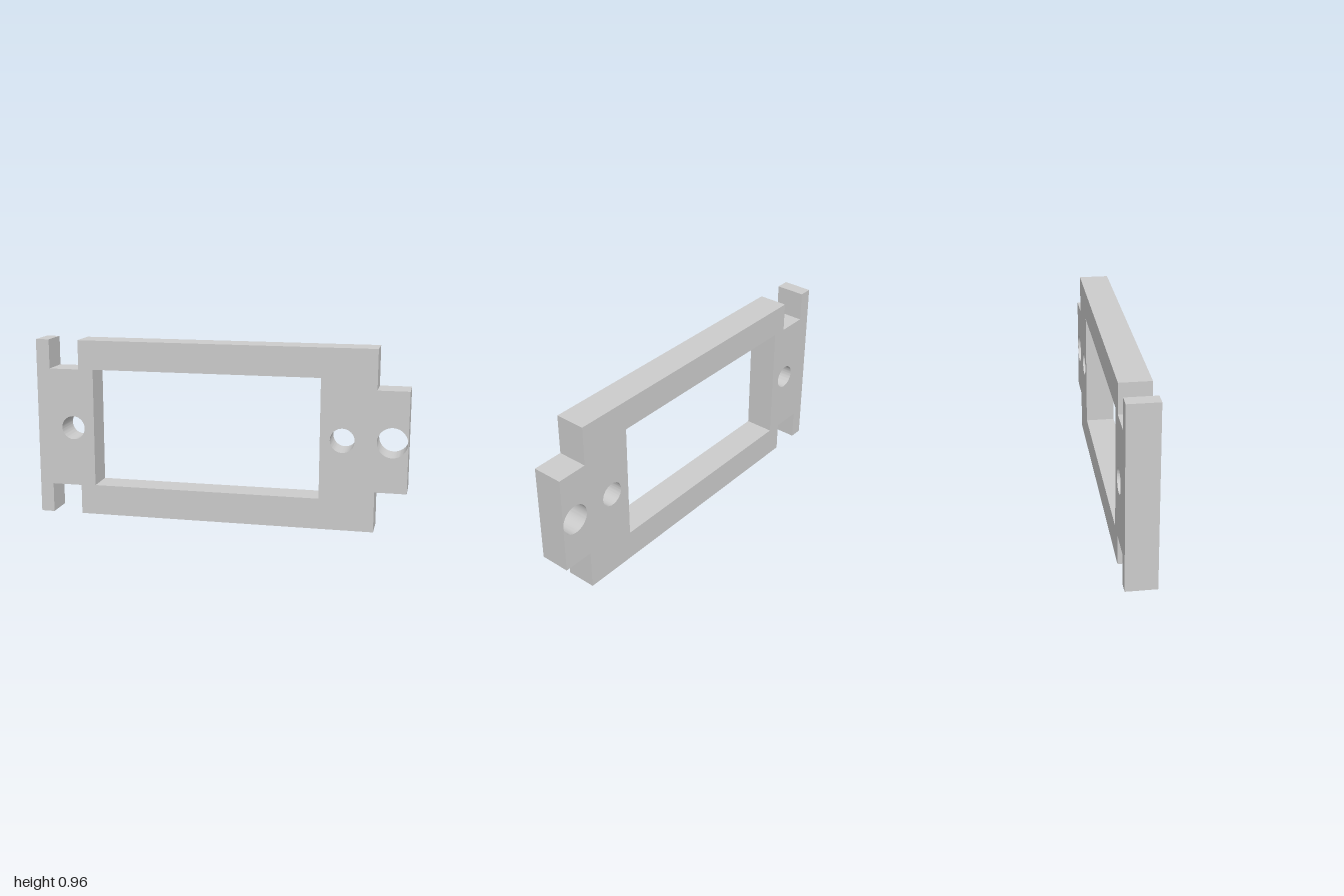
import * as THREE from 'three';
import { toCreasedNormals } from 'three/addons/utils/BufferGeometryUtils.js';

const DEPTH = 0.16;
const MID = 0.48; // height of the hole centre line

const toPoints = (list) => list.map(([x, y]) => new THREE.Vector2(x, y));

function roundHole(x, radius) {
  const hole = new THREE.Path();
  hole.absarc(x, MID, radius, 0, Math.PI * 2, true);
  return hole;
}

export function createModel() {
  const group = new THREE.Group();
  group.name = 'mountingBracket';

  // Plate outline: notched end bar on one side, stepped tab on the other
  const outline = new THREE.Shape(toPoints([
    [-1, 0], [-0.927, 0], [-0.927, 0.16], [-0.763, 0.16], [-0.763, 0],
    [0.835, 0], [0.835, 0.215], [1, 0.215], [1, 0.749], [0.835, 0.749],
    [0.835, 0.96], [-0.763, 0.96], [-0.763, 0.802], [-0.927, 0.802],
    [-0.927, 0.96], [-1, 0.96],
  ]));

  // Rectangular window, two screw holes and the larger cable hole in the tab
  outline.holes.push(
    new THREE.Path(toPoints([
      [-0.682, 0.164], [-0.682, 0.803], [0.547, 0.803], [0.547, 0.164],
    ])),
    roundHole(-0.8, 0.064),
    roundHole(0.663, 0.064),
    roundHole(0.919, 0.079),
  );

  const extruded = new THREE.ExtrudeGeometry(outline, {
    depth: DEPTH, bevelEnabled: false, curveSegments: 32,
  });
  extruded.translate(0, 0, -DEPTH / 2);

  const plate = new THREE.Mesh(
    toCreasedNormals(extruded, Math.PI / 6),
    new THREE.MeshStandardMaterial({ color: 0xcccccc }),
  );
  plate.name = 'framePlate';
  group.add(plate);
  return group;
}
